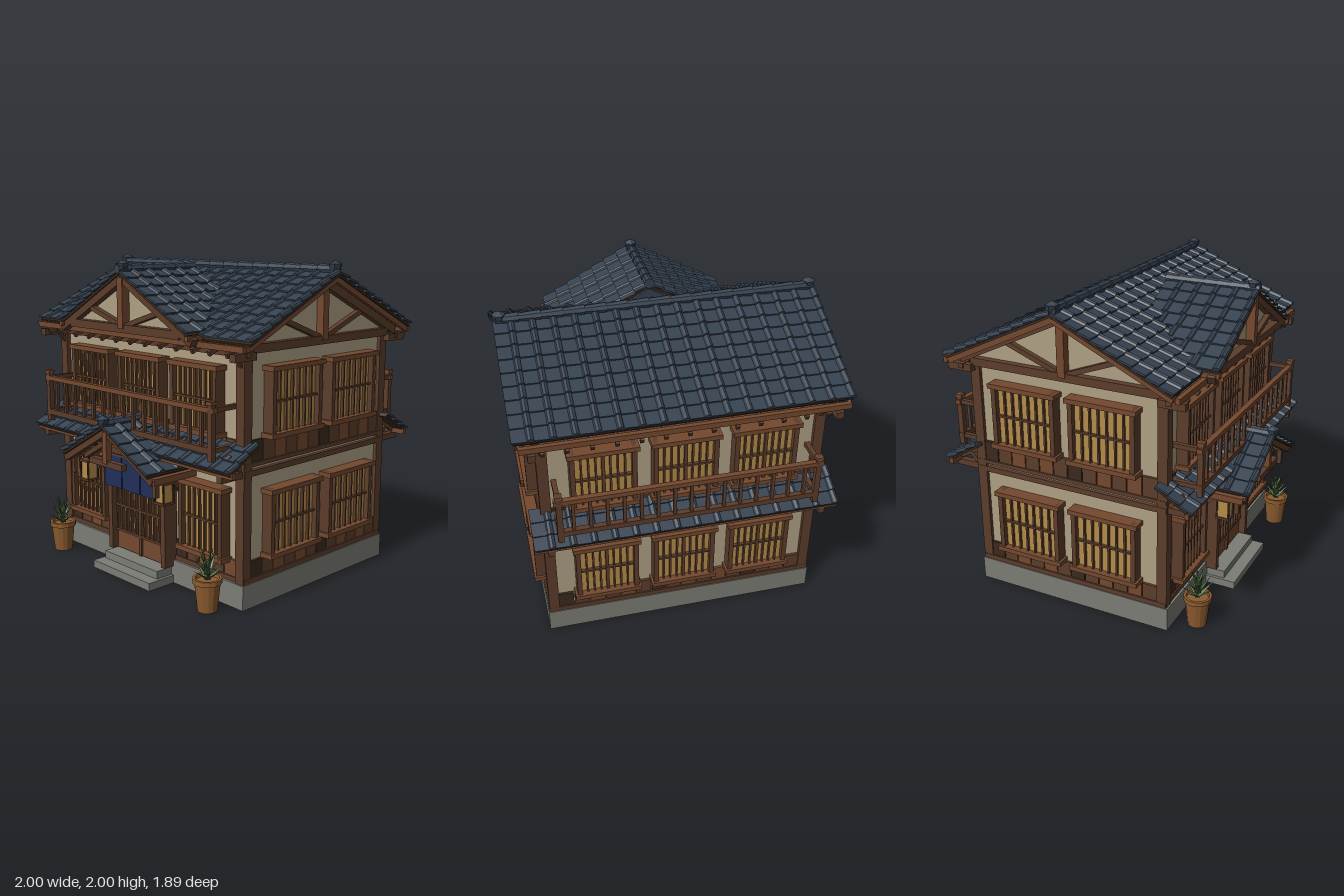
import * as THREE from 'three';

const mat = (color, extra = {}) => new THREE.MeshStandardMaterial({ color, flatShading: true, ...extra });
const M = {
  tile: mat(0x364250), wood: mat(0x5c3d2b), light: mat(0x74492f), dark: mat(0x3a2a1e), plaster: mat(0xaea184),
  paper: mat(0xb58c4a), stone: mat(0x7b7d75), cloth: mat(0x20305a), clay: mat(0x8c5c30),
  leaf: mat(0x47633a, { side: THREE.DoubleSide }),
};
const MID = -0.085; // z of the main ridge

function add(parent, name, geo, material, x = 0, y = 0, z = 0) {
  const m = new THREE.Mesh(geo, material);
  m.name = name;
  m.position.set(x, y, z);
  parent.add(m);
  return m;
}
const box = (p, name, material, w, h, d, x, y, z) => add(p, name, new THREE.BoxGeometry(w, h, d), material, x, y, z);

function group(parent, name, x = 0, y = 0, z = 0, ry = 0) {
  const g = new THREE.Group();
  g.name = name;
  g.position.set(x, y, z);
  g.rotation.y = ry;
  parent.add(g);
  return g;
}

// Square timber between two points
function beam(p, name, a, b, w, h, material = M.wood) {
  const A = new THREE.Vector3(...a), B = new THREE.Vector3(...b);
  const m = new THREE.Mesh(new THREE.BoxGeometry(w, h, A.distanceTo(B)), material);
  m.name = name;
  m.position.copy(A).lerp(B, 0.5);
  m.lookAt(B);
  p.add(m);
}

function extrude(points, depth) {
  const s = new THREE.Shape(points.map(([x, y]) => new THREE.Vector2(x, y)));
  return new THREE.ExtrudeGeometry(s, { depth, bevelEnabled: false });
}

// One course of rolled tiles from x0 to x1, running down +z
function tileCourse(x0, x1, len) {
  const n = Math.max(1, Math.round((x1 - x0) / 0.125)), t = (x1 - x0) / n;
  const pts = [[x1, 0], [x1, 0.012]];
  for (let i = n - 1; i >= 0; i--) {
    for (const [u, y] of [[0.97, 0.02], [0.86, 0.027], [0.74, 0.02], [0.68, 0.008], [0, 0.012]]) pts.push([x0 + (i + u) * t, y]);
  }
  pts.push([x0, 0]);
  return extrude(pts, len);
}

// Overlapping courses; range(d) gives the x extent of the course starting d below the ridge
function tiledSlope(parent, name, pos, ry, angle, length, rows, range) {
  const g = group(parent, name, ...pos);
  g.rotation.set(angle, ry, 0, 'YXZ');
  const pitch = length / rows;
  for (let i = 0; i < rows; i++) {
    const [x0, x1] = range(i * pitch);
    add(g, 'tileCourse', tileCourse(x0, x1, pitch * 1.04), M.tile, 0, 0, i * pitch).rotation.x = -0.013 / pitch;
    box(g, 'roofDeck', M.dark, x1 - x0 - 0.02, 0.014, pitch, (x0 + x1) / 2, -0.007, (i + 0.5) * pitch);
  }
}

// Row of tapered ridge tiles along local +z, with flared end ornaments
function ridge(parent, pos, ry, length, n, ends) {
  const g = group(parent, 'ridgeTiles', ...pos, ry);
  const geo = new THREE.CylinderGeometry(0.026, 0.034, length / n * 1.05, 8).rotateX(Math.PI / 2);
  for (let i = 0; i < n; i++) add(g, 'ridgeTile', geo, M.tile, 0, 0, (i + 0.5) * length / n);
  for (const z of ends) {
    add(g, 'ridgeOrnament', new THREE.CylinderGeometry(0.042, 0.025, 0.05, 6), M.tile, 0, 0.008, z);
    add(g, 'ridgeCap', new THREE.ConeGeometry(0.042, 0.02, 6), M.tile, 0, 0.043, z);
  }
}

// Gable truss facing +z, apex at the group origin
function truss(g, half, tan, tieY, tieHalf, w, struts) {
  for (const s of [-1, 1]) {
    beam(g, 'gableRafter', [0, 0, 0], [s * half, -half * tan, 0], w, w);
    if (struts) beam(g, 'gableStrut', [s * 0.03, tieY + 0.02, 0], [s * half * 0.55, -half * 0.55 * tan, 0], w * 0.7, w * 0.6);
  }
  box(g, 'gableTie', M.wood, tieHalf * 2, w, w, 0, tieY, 0);
  box(g, 'kingPost', M.light, w, -tieY, w * 1.1, 0, tieY / 2, 0.004);
}

// Lattice window on a wall facing +z, origin at its bottom centre
function latticeWindow(parent, w, h, x, y, z, ry = 0, bars = 6) {
  const g = group(parent, 'window', x, y, z, ry);
  box(g, 'paperPane', M.paper, w - 0.04, h - 0.02, 0.04, 0, h / 2, 0.02);
  for (const s of [-1, 1]) box(g, 'frameSide', M.wood, 0.03, h, 0.075, s * (w / 2 - 0.03), h / 2, 0.037);
  for (const yy of [0.015, h - 0.015]) box(g, 'frameRail', M.light, w, 0.03, 0.088, 0, yy, 0.044);
  for (let i = 1; i <= bars; i++) box(g, 'latticeBar', M.wood, i === (bars + 1) / 2 ? 0.02 : 0.011, h - 0.04, 0.02, (i / (bars + 1) - 0.5) * (w - 0.08), h / 2, 0.048);
  box(g, 'latticeRail', M.wood, w - 0.06, 0.012, 0.024, 0, h / 2, 0.048);
}

// Board cladding on a wall facing +z
function boards(parent, x0, x1, y0, y1, z) {
  const n = Math.round((x1 - x0) / 0.1), t = (x1 - x0) / n;
  for (let i = 0; i < n; i++) {
    const tone = [M.light, M.wood, M.dark, M.wood, M.light, M.wood][(i * 5 + 2) % 6];
    box(parent, 'claddingBoard', tone, t - 0.006, y1 - y0, 0.02, x0 + (i + 0.5) * t, (y0 + y1) / 2, z + 0.006);
  }
}

// Skirt roof, balcony, eaves and upper windows of the front or rear, wall plane at z = 0.635
function longSide(root, name, ry) {
  const g = group(root, name, 0, 0, MID, ry);
  for (const x of [-0.4925, 0, 0.4925]) latticeWindow(g, 0.425, 0.42, x, 1.0, 0.635, 0, 7);
  boards(g, -0.82, 0.82, 0.87, 1.0, 0.635);
  tiledSlope(g, 'skirtRoof', [0, 0.985, 0.615], 0, 0.53, 0.26, 3, () => [-0.94, 0.94]);
  box(g, 'skirtFascia', M.light, 1.88, 0.035, 0.03, 0, 0.845, 0.815);
  box(g, 'eavesFascia', M.light, 1.94, 0.035, 0.03, 0, 1.54, 0.765);
  box(g, 'eavesPurlin', M.wood, 1.86, 0.03, 0.035, 0, 1.5, 0.69);
  for (let i = 0; i < 13; i++) {
    const x = (i - 6) * 0.14;
    beam(g, 'skirtRafter', [x, 0.945, 0.63], [x, 0.85, 0.8], 0.025, 0.025);
    beam(g, 'eavesRafter', [x, 1.565, 0.63], [x, 1.495, 0.775], 0.022, 0.03);
  }
  for (const s of [-1, 1]) {
    const x = s * 0.84;
    box(g, 'skirtArm', M.wood, 0.04, 0.04, 0.21, x, 0.81, 0.725);
    beam(g, 'skirtBrace', [x, 0.8, 0.635], [x, 0.93, 0.76], 0.03, 0.025);
    box(g, 'eavesArm', M.wood, 0.045, 0.045, 0.17, s * 0.9, 1.49, 0.705);
    beam(g, 'eavesBrace', [x, 1.4, 0.635], [x, 1.54, 0.73], 0.03, 0.03);
    // balcony returns and corner posts
    box(g, 'balconyPost', M.wood, 0.035, 0.34, 0.035, s * 0.78, 1.075, 0.83);
    box(g, 'postCap', M.light, 0.045, 0.02, 0.045, s * 0.78, 1.235, 0.83);
    for (const y of [0.965, 1.195]) box(g, 'balconyReturn', M.wood, 0.03, 0.028, 0.2, s * 0.78, y, 0.735);
  }
  box(g, 'handrail', M.light, 1.62, 0.03, 0.035, 0, 1.195, 0.83);
  box(g, 'balconyRail', M.wood, 1.6, 0.035, 0.035, 0, 0.965, 0.83);
  for (let i = 0; i < 15; i++) box(g, 'baluster', M.wood, 0.02, 0.22, 0.02, (i - 7) * 0.1, 1.08, 0.83);
  tiledSlope(g, 'mainRoof', [0, 1.92, 0], 0, 0.44, 0.823, 9, () => [-1, 1]);
  return g;
}

// Potted plant
function planter(root, x) {
  const g = group(root, 'planter', x, 0, 0.72);
  const profile = [[0, 0], [0.06, 0], [0.078, 0.17], [0.088, 0.17], [0.088, 0.2], [0.072, 0.2], [0.068, 0.18], [0, 0.18]];
  add(g, 'pot', new THREE.LatheGeometry(profile.map(p => new THREE.Vector2(...p)), 14), M.clay);
  for (let i = 0; i < 18; i++) {
    const leaf = add(g, 'leaf', new THREE.ConeGeometry(0.02, 0.14, 4).scale(1, 1, 0.3).translate(0, 0.07, 0), M.leaf, 0, 0.19 + (i % 3) * 0.025, 0);
    leaf.rotation.set(0.95 - (i % 3) * 0.3, i * 2.4, 0, 'YXZ');
  }
}

// Hanging lantern
function lantern(root, x) {
  const g = group(root, 'lantern', x, 0.57, 0.74);
  box(g, 'lanternPaper', M.paper, 0.072, 0.12, 0.072, 0, 0.065, 0);
  for (const a of [-1, 1]) for (const b of [-1, 1]) box(g, 'lanternPost', M.dark, 0.01, 0.13, 0.01, a * 0.038, 0.065, b * 0.038);
  for (const y of [0.005, 0.13]) box(g, 'lanternRail', M.wood, 0.09, 0.014, 0.09, 0, y, 0);
  box(g, 'lanternHanger', M.dark, 0.012, 0.05, 0.012, 0, 0.16, 0);
}

export function createModel() {
  const root = new THREE.Group();
  root.name = 'timberInn';

  // Foundation, steps and plaster body
  box(root, 'foundation', M.stone, 1.76, 0.15, 1.34, 0, 0.075, -0.08);
  box(root, 'lowerStep', M.stone, 0.56, 0.05, 0.24, 0, 0.025, 0.67);
  box(root, 'upperStep', M.stone, 0.52, 0.05, 0.14, 0, 0.075, 0.64);
  const body = extrude([[-0.635, 0.15], [0.635, 0.15], [0.635, 1.56], [0, 1.87], [-0.635, 1.56]], 1.7);
  add(root, 'plasterWalls', body, M.plaster, -0.85, 0, MID).rotation.y = Math.PI / 2;

  // Timber frame
  for (const x of [-0.84, 0.84]) for (const z of [0.548, -0.712]) box(root, 'cornerPost', M.wood, 0.065, 1.4, 0.065, x, 0.85, z);
  for (const [y, h] of [[0.165, 0.03], [0.81, 0.035], [0.86, 0.025], [1.525, 0.035]]) box(root, 'wallBeam', M.wood, 1.75, h, 1.32, 0, y, MID);

  // Side walls with gables
  for (const s of [-1, 1]) {
    const g = group(root, s > 0 ? 'leftSide' : 'rightSide', 0, 0, MID, s * Math.PI / 2);
    for (const y of [0.28, 1.0]) for (const x of [-0.265, 0.265]) latticeWindow(g, 0.465, 0.42, x, y, 0.85);
    boards(g, -0.6, 0.6, 0.17, 0.28, 0.85);
    boards(g, -0.6, 0.6, 0.87, 1.0, 0.85);
    truss(group(g, 'sideGable', 0, 1.87, 0.87), 0.72, 0.471, -0.345, 0.64, 0.05, true);
    for (const t of [-1, 1]) beam(g, 'bargeboard', [0, 1.888, 0.965], [t * 0.74, 1.54, 0.965], 0.025, 0.035, M.light);
  }

  // Front and rear
  longSide(root, 'frontSide', 0);
  const rear = longSide(root, 'rearSide', Math.PI);
  for (const x of [-0.4925, 0, 0.4925]) latticeWindow(rear, 0.425, 0.42, x, 0.28, 0.635, 0, 7);
  boards(rear, -0.81, 0.81, 0.17, 0.28, 0.635);
  for (const s of [-1, 1]) {
    latticeWindow(root, 0.4, 0.45, s * 0.55, 0.26, 0.55);
    const [a, b] = [s * 0.27, s * 0.81].sort((p, q) => p - q);
    boards(root, a, b, 0.17, 0.28, 0.55);
    planter(root, s * 0.72);
    lantern(root, s * 0.37);
  }
  ridge(root, [-0.98, 1.942, MID], Math.PI / 2, 1.96, 15, [0.02, 1.94]);

  // Entrance: sliding doors and hanging curtain
  const door = group(root, 'entrance', 0, 0.11, 0.57);
  box(door, 'doorPanel', M.light, 0.5, 0.13, 0.05, 0, 0.065, 0.02);
  box(door, 'doorPaper', M.paper, 0.5, 0.54, 0.03, 0, 0.38, 0.02);
  for (const s of [-1, 1]) box(door, 'doorPost', M.wood, 0.04, 0.66, 0.1, s * 0.26, 0.33, 0.04);
  for (let i = -5; i <= 5; i++) box(door, 'doorBar', M.wood, i ? 0.011 : 0.025, i ? 0.52 : 0.66, 0.025, i * 0.045, i ? 0.39 : 0.33, 0.045);
  for (const y of [0.13, 0.3, 0.42]) box(door, 'doorRail', M.wood, 0.5, 0.015, 0.03, 0, y, 0.045);
  box(door, 'lintel', M.wood, 0.6, 0.04, 0.1, 0, 0.67, 0.04);
  for (const i of [-1, 0, 1]) box(door, 'curtainPanel', M.cloth, 0.172, 0.21, 0.008, i * 0.18, 0.545, 0.12);
  box(door, 'curtainRod', M.wood, 0.58, 0.014, 0.014, 0, 0.655, 0.12);

  // Entrance canopy
  const porch = group(root, 'entranceCanopy');
  for (const s of [-1, 1]) {
    const range = s > 0 ? [-0.92, -0.52] : [0.52, 0.92];
    tiledSlope(porch, 'canopyRoof', [0, 1.005, 0], s * Math.PI / 2, 0.509, 0.48, 5, () => range);
    box(porch, 'canopyBeam', M.light, 0.04, 0.04, 0.42, s * 0.43, 0.74, 0.67);
    box(porch, 'canopyArm', M.wood, 0.035, 0.035, 0.32, s * 0.34, 0.775, 0.7);
    box(porch, 'canopyPendant', M.wood, 0.03, 0.1, 0.03, s * 0.4, 0.68, 0.83);
    beam(porch, 'canopyBrace', [s * 0.36, 0.6, 0.58], [s * 0.36, 0.76, 0.72], 0.03, 0.03);
    beam(porch, 'innerRafter', [0, 0.93, 0.8], [s * 0.32, 0.75, 0.8], 0.03, 0.03);
  }
  truss(group(porch, 'canopyGable', 0, 0.97, 0.87), 0.43, 0.558, -0.2, 0.16, 0.04, false);
  ridge(porch, [0, 1.02, 0.52], 0, 0.4, 5, [0.38]);

  // Front dormer, its courses cut where they meet the main roof
  const dormer = group(root, 'dormer');
  const cut = d => Math.max(0.16, MID + (0.55 * d * 0.876 - 0.01) / 0.471 - 0.02);
  for (const s of [-1, 1]) {
    tiledSlope(dormer, 'dormerRoof', [0, 1.925, 0], s * Math.PI / 2, 0.503, 0.685, 7, d => (s > 0 ? [-0.77, -cut(d)] : [cut(d), 0.77]));
    beam(dormer, 'dormerEavesBoard', [s * 0.6, 1.575, 0.58], [s * 0.6, 1.575, 0.77], 0.03, 0.03, M.light);
  }
  add(dormer, 'dormerInfill', extrude([[-0.5, 1.585], [0.5, 1.585], [0, 1.89]], 0.12), M.plaster, 0, 0, 0.58);
  add(dormer, 'dormerBack', extrude([[-0.26, 1.745], [0.26, 1.745], [0, 1.9]], 0.4), M.tile, 0, 0, 0.17);
  truss(group(dormer, 'dormerGable', 0, 1.89, 0.725), 0.62, 0.55, -0.305, 0.52, 0.05, true);
  ridge(dormer, [0, 1.94, 0.16], 0, 0.61, 7, [0.57]);
  return root;
}
